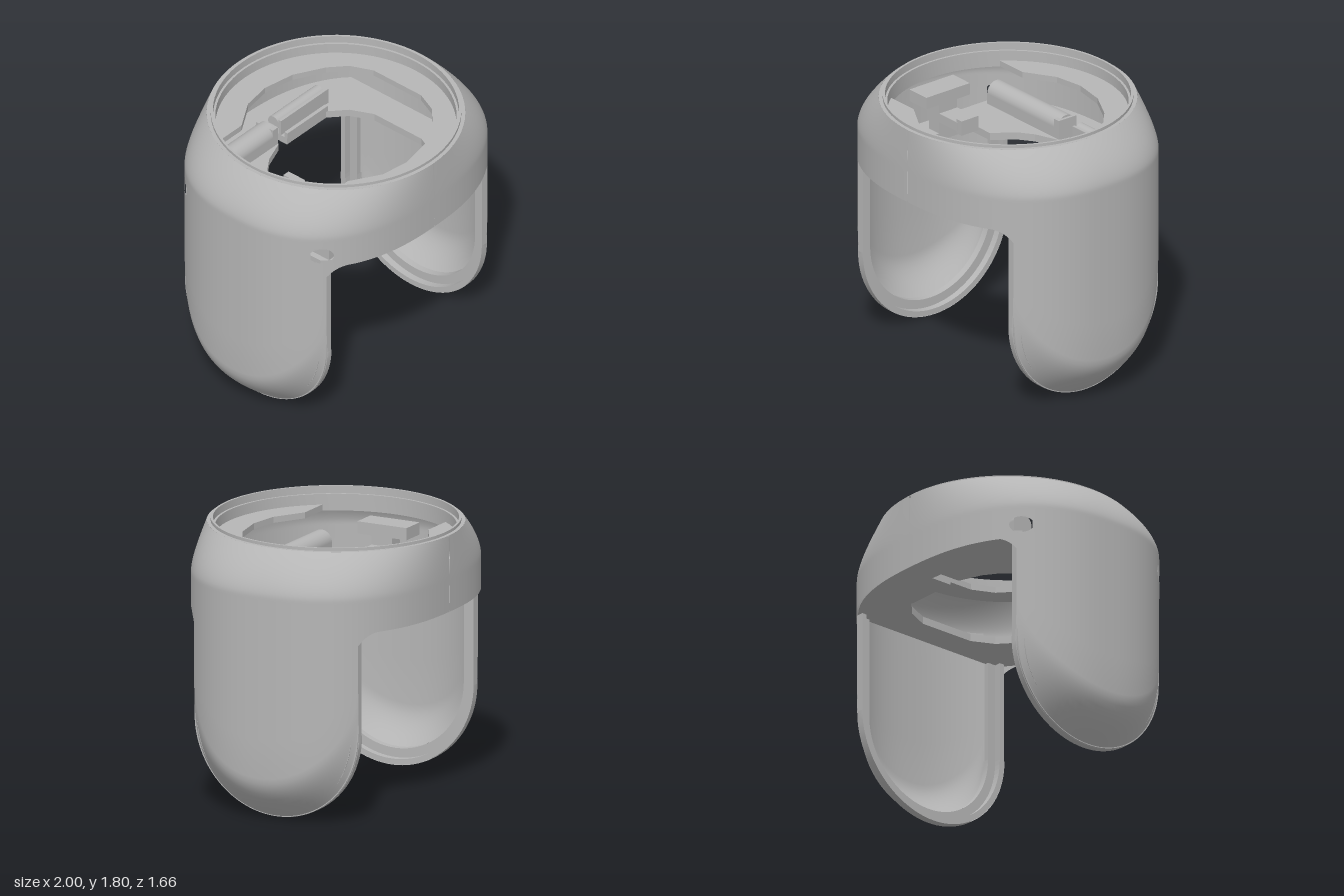
import * as THREE from 'three';
import { mergeGeometries, toCreasedNormals } from 'three/addons/utils/BufferGeometryUtils.js';

const grey = new THREE.MeshStandardMaterial({ color: 0xb6b6b6, side: THREE.DoubleSide });
grey.name = 'grey plastic';

const DEPTH = 0.832, TOP = 1.78, SHOULDER = 1.5, LEG_Z = 0.6, POWER = 2.43, GAP = 0.004;
const HOLE = { x: 0.8, y: 1.37, r: 0.056 };
const lerp = THREE.MathUtils.lerp;
const ovalX = z => Math.pow(Math.max(0, 1 - Math.pow(Math.abs(z) / DEPTH, POWER)), 1 / POWER);
const ovalZ = x => DEPTH * Math.pow(1 - Math.pow(x, POWER), 1 / POWER);

function mesh(name, geometry, parent) {
  const m = new THREE.Mesh(geometry, grey);
  m.name = name;
  parent.add(m);
  return m;
}

function box(name, x0, x1, y0, y1, z0, z1, parent) {
  const g = new THREE.BoxGeometry(x1 - x0, y1 - y0, z1 - z0);
  g.translate((x0 + x1) / 2, (y0 + y1) / 2, (z0 + z1) / 2);
  return mesh(name, g, parent);
}

// Skin stretched over equal-length columns of points, with an optional opening
function skin(columns, inHole = () => false, place = p => p) {
  const pos = [], n = columns[0].length;
  for (let i = 0; i < columns.length - 1; i++) {
    for (let j = 0; j < n - 1; j++) {
      const quad = [columns[i][j], columns[i + 1][j], columns[i + 1][j + 1], columns[i][j + 1]];
      if (quad.every(inHole)) continue;
      const [a, b, c, d] = quad.map(place);
      pos.push(...a, ...b, ...c, ...a, ...c, ...d);
    }
  }
  const g = new THREE.BufferGeometry();
  g.setAttribute('position', new THREE.Float32BufferAttribute(pos, 3));
  return g;
}

// Round side hole: points inside move out to its edge
const insideHole = ([x, y]) => Math.hypot(x - HOLE.x, y - HOLE.y) < HOLE.r;
function toHoleEdge(p) {
  if (!insideHole(p)) return p;
  const a = Math.atan2(p[1] - HOLE.y, p[0] - HOLE.x), x = HOLE.x + HOLE.r * Math.cos(a);
  return [x, HOLE.y + HOLE.r * Math.sin(a), Math.sign(p[2]) * ovalZ(x)];
}

// Oval drum wall that closes in to a circle at the shoulder
function wallPoint(x, z, y) {
  const w = Math.pow(Math.max(0, (y - SHOULDER) / (TOP - SHOULDER)), 1.6);
  const r = 0.825 / Math.hypot(x * 0.825, z);
  return [Math.max(GAP, lerp(x, x * 0.825 * r, w)), y, lerp(z, z * r, w)];
}

function upperRows(x, z) {
  return Array.from({ length: 33 }, (_, i) => wallPoint(x, z, lerp(1.3, TOP, i / 32)));
}

// Leg column: flat rim, rounded toe, straight wall
function legColumn(z, radius, rimX, x, toe, top) {
  const low = 0.6 - Math.sqrt(Math.max(0, radius * radius - z * z));
  const base = Math.min(rimX + 0.04, x);
  const col = [[rimX, low, z]];
  for (let i = 0; i <= 8; i++) {
    col.push([lerp(base, x, Math.sin(i / 8 * Math.PI / 2)), low + toe * i / 8, z]);
  }
  for (let i = 1; i <= 4; i++) col.push([x, lerp(low + toe, top, i / 4), z]);
  return col;
}

function shellHalf(withHole) {
  const parts = [], edgeX = ovalX(LEG_Z);
  const opening = withHole ? [insideHole, toHoleEdge] : [];
  const leg = [];
  for (let i = 0; i <= 48; i++) {
    const z = LEG_Z * Math.cos(i / 48 * Math.PI);
    leg.push([...legColumn(z, LEG_Z, 0.73, ovalX(z), 0.3, 1.3), ...upperRows(ovalX(z), z).slice(1)]);
  }
  parts.push(skin(leg, ...opening));
  for (const s of [1, -1]) {
    const bridge = [];
    for (let i = 0; i <= 50; i++) {
      const x = edgeX * (1 - i / 50), z = ovalZ(x);
      const f = Math.max(0, 1 - (z - LEG_Z) / 0.09);
      const low = 1.28 - 0.08 * f * f;
      bridge.push([[Math.max(GAP, x), low, s * z], ...upperRows(x, s * z)]);
    }
    if (s > 0) bridge.reverse();
    parts.push(skin(bridge, ...opening));
  }
  return toCreasedNormals(mergeGeometries(parts), 0.6);
}

// U-shaped frame in the side plane
function uFrame(outer, inner, x0, x1) {
  const s = new THREE.Shape();
  s.moveTo(-outer, 1.28);
  s.lineTo(-outer, 0.6);
  s.absarc(0, 0.6, outer, Math.PI, 2 * Math.PI, false);
  s.lineTo(outer, 1.28);
  s.lineTo(inner, 1.28);
  s.lineTo(inner, 0.6);
  s.absarc(0, 0.6, inner, 2 * Math.PI, Math.PI, true);
  s.lineTo(-inner, 1.28);
  const g = new THREE.ExtrudeGeometry(s, { depth: x1 - x0, bevelEnabled: false, curveSegments: 28 });
  return g.rotateY(Math.PI / 2).translate(x0, 0, 0);
}

function half(side) {
  const g = new THREE.Group();
  g.name = side > 0 ? 'leftHalf' : 'rightHalf';
  mesh('outerShell', shellHalf(side < 0), g);
  const lining = [];
  for (let i = 0; i <= 28; i++) {
    const z = 0.5 * Math.cos(i / 28 * Math.PI);
    lining.push(legColumn(z, 0.5, 0.78, ovalX(z) - 0.05, 0.25, 1.5));
  }
  mesh('legLining', toCreasedNormals(skin(lining), 0.6), g);
  mesh('legRim', uFrame(0.597, 0.56, 0.73, 0.78), g);
  mesh('legInnerLip', uFrame(0.562, 0.5, 0.775, 0.81), g);
  g.scale.x = side;
  return g;
}

// Horizontal plate from an x-z outline
function plate(name, points, holes, y0, y1, parent) {
  const v = list => list.map(p => new THREE.Vector2(...p));
  const s = new THREE.Shape(v(points));
  for (const h of holes) s.holes.push(new THREE.Path(v(h)));
  const g = new THREE.ExtrudeGeometry(s, { depth: y1 - y0, bevelEnabled: false });
  g.rotateX(Math.PI / 2).translate(0, y1, 0);
  return mesh(name, g, parent);
}

const mirrorZ = list => [...list, ...list.map(([x, z]) => [x, -z]).reverse()];

export function createModel() {
  const model = new THREE.Group();
  model.name = 'housing';
  model.add(half(1), half(-1));

  // Stepped circular rim
  const rim = [[0.825, 1.78], [0.8, 1.78], [0.8, 1.8], [0.785, 1.8], [0.785, 1.75], [0.77, 1.75], [0.77, 1.64]]
    .map(p => new THREE.Vector2(...p));
  mesh('topRim', toCreasedNormals(new THREE.LatheGeometry(rim, 80), 0.5), model);

  // Flange inside the rim, open toward the right side
  const arc = [], a0 = Math.atan2(0.45, -0.626);
  for (let i = 0; i <= 60; i++) {
    const a = lerp(-a0, a0, i / 60);
    arc.push([0.771 * Math.cos(a), 0.771 * Math.sin(a)]);
  }
  const innerEdge = mirrorZ([[-0.4, 0.45], [-0.2, 0.57], [0, 0.6], [0.22, 0.56], [0.42, 0.45], [0.53, 0.35], [0.595, 0.2]]);
  plate('flange', [...arc, ...innerEdge], [], 1.64, 1.68, model);

  // Floor with straight ends above the legs, a central opening and two slots
  const edge = [];
  for (let i = 0; i <= 32; i++) {
    const x = lerp(-0.8, 0.8, i / 32);
    edge.push([x, ovalZ(Math.abs(x)) - 0.012]);
  }
  const opening = mirrorZ([[-0.6, 0.18], [-0.4, 0.18], [-0.3, 0.32], [-0.2, 0.39], [-0.04, 0.45], [-0.04, 0.6],
    [0.04, 0.6], [0.04, 0.45], [0.42, 0.45], [0.53, 0.35], [0.6, 0.2]]);
  plate('floor', mirrorZ(edge), [opening], 1.28, 1.33, model);

  for (const s of [1, -1]) {
    const side = new THREE.Group();
    side.name = s > 0 ? 'frontFittings' : 'backFittings';
    side.scale.z = s;
    model.add(side);
    box('seamBacking', -0.02, 0.02, 1.285, 1.77, 0.805, 0.815, side);
    // Long tube with its end block
    const tube = new THREE.CylinderGeometry(0.075, 0.075, 0.7, 24).rotateZ(Math.PI / 2);
    mesh('tube', tube.translate(-0.41, 1.4, 0.53), side);
    box('tubeBase', -0.76, -0.06, 1.33, 1.4, 0.455, 0.605, side);
    box('tubeEnd', -0.09, -0.04, 1.33, 1.46, 0.455, 0.6, side);
    // Short rails
    box('railInner', 0.04, 0.43, 1.33, 1.37, 0.445, 0.47, side);
    box('railOuter', 0.04, 0.5, 1.33, 1.44, 0.5, 0.52, side);
    const rod = new THREE.CylinderGeometry(0.045, 0.045, 0.44, 20).rotateZ(Math.PI / 2);
    mesh('rod', rod.translate(0.26, 1.4, 0.565), side);
  }

  // Latch block and arm on the right side
  box('latchBlock', -0.77, -0.6, 1.53, 1.61, -0.18, 0.18, model);
  box('latchArm', -0.6, -0.42, 1.41, 1.47, -0.075, 0.075, model);
  box('latchRoot', -0.7, -0.6, 1.33, 1.53, -0.075, 0.075, model);
  box('latchTip', -0.43, -0.38, 1.39, 1.49, -0.07, 0.07, model);
  return model;
}
